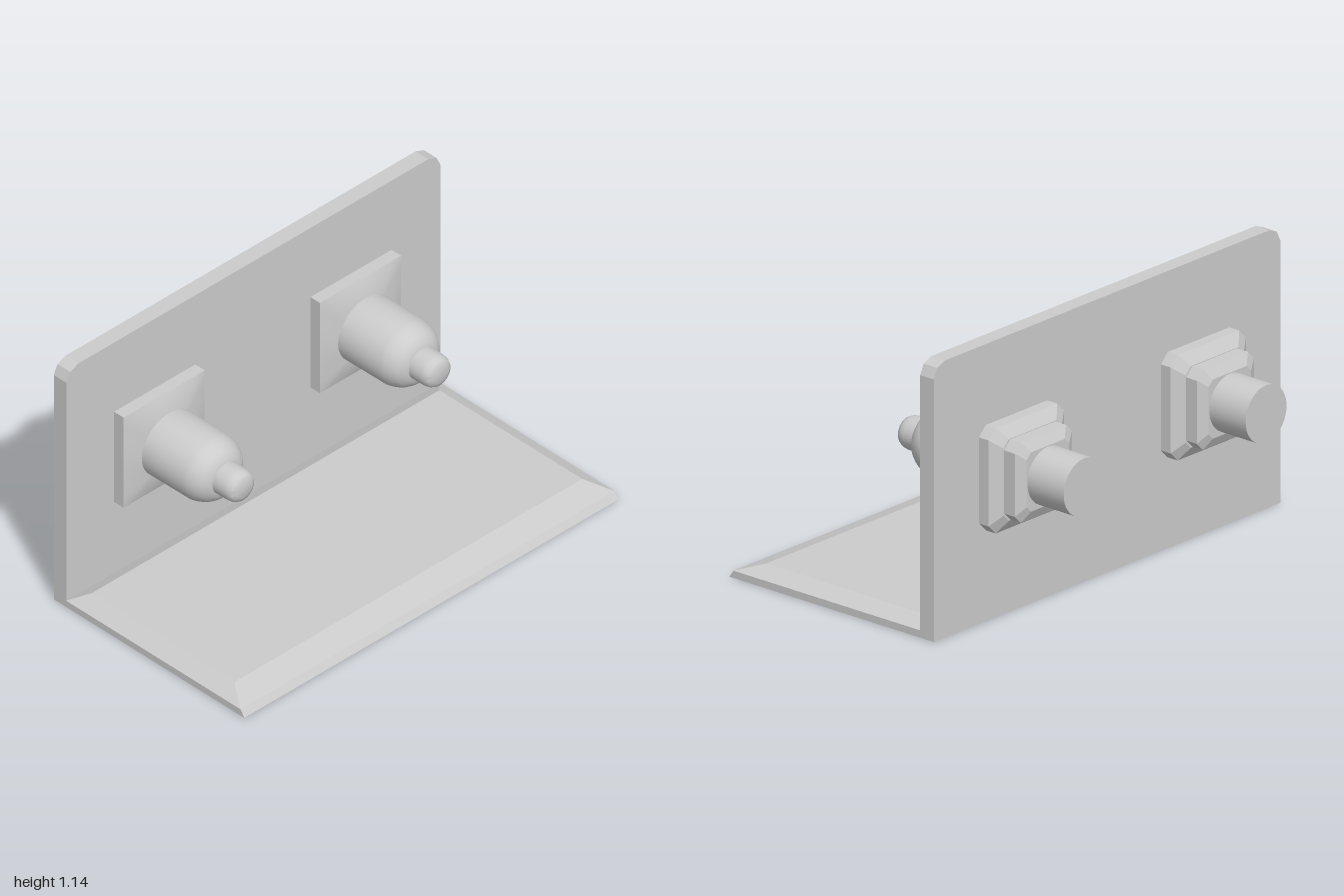
import * as THREE from 'three';
import { toCreasedNormals } from 'three/addons/utils/BufferGeometryUtils.js';

const material = new THREE.MeshStandardMaterial({ color: 0xcccccc });

function addPart(parent, name, geometry) {
  const mesh = new THREE.Mesh(geometry, material);
  mesh.name = name;
  parent.add(mesh);
  return mesh;
}

// Skin over counter-clockwise rings [[x, y], ...] placed at rising z, with end caps.
function loft(sections, crease = 0.2) {
  const n = sections[0].ring.length;
  const positions = [];
  const index = [];
  sections.forEach(({ z, ring }) => ring.forEach(([x, y]) => positions.push(x, y, z)));
  for (let s = 0; s < sections.length - 1; s++) {
    for (let i = 0; i < n; i++) {
      const j = (i + 1) % n;
      const a = s * n + i, b = s * n + j;
      index.push(a, b, b + n, a, b + n, a + n);
    }
  }
  const last = (sections.length - 1) * n;
  for (let i = 1; i < n - 1; i++) {
    index.push(0, i + 1, i, last, last + i, last + i + 1);
  }
  const geometry = new THREE.BufferGeometry();
  geometry.setAttribute('position', new THREE.Float32BufferAttribute(positions, 3));
  geometry.setIndex(index);
  return toCreasedNormals(geometry, crease);
}

const rect = (x0, x1, y0, y1) => [[x0, y0], [x1, y0], [x1, y1], [x0, y1]];

// Square with clipped corners
function octagon(h, cut) {
  const c = h - cut;
  return [[c, -h], [h, -c], [h, c], [c, h], [-c, h], [-h, c], [-h, -c], [-c, -h]];
}

// Round or square ring with matching point counts
function ring(r, square) {
  return Array.from({ length: 48 }, (_, i) => {
    const a = (i / 48) * Math.PI * 2;
    const x = Math.cos(a), y = Math.sin(a);
    const k = square ? r / Math.max(Math.abs(x), Math.abs(y)) : r;
    return [x * k, y * k];
  });
}

function createConnector(name, x) {
  const group = new THREE.Group();
  group.name = name;
  group.position.set(x, 0.59, 0);

  // Front flange: square rim easing into the round body
  addPart(group, 'frontFlange', loft([
    { z: -0.3, ring: ring(0.217, true) },
    { z: -0.23, ring: ring(0.217, true) },
    { z: -0.2, ring: ring(0.143, false) },
  ], 0.7));

  // Rounded body and tip, turned around the z axis
  const profile = [
    [0.143, -0.21], [0.141, 0.02], [0.136, 0.04], [0.127, 0.065], [0.11, 0.09], [0.085, 0.108],
    [0.07, 0.112], [0.069, 0.17], [0.066, 0.19], [0.058, 0.206], [0.04, 0.214], [0, 0.217],
  ].map(([r, z]) => new THREE.Vector2(r, z));
  const body = toCreasedNormals(new THREE.LatheGeometry(profile, 40), 0.85);
  body.rotateX(Math.PI / 2).scale(1.03, 1, 1);
  addPart(group, 'bodyAndTip', body);

  // Two stepped, bevelled plates behind the panel
  addPart(group, 'backFlange', loft([
    { z: -0.435, ring: octagon(0.168, 0.03) },
    { z: -0.402, ring: octagon(0.217, 0.04) },
    { z: -0.33, ring: octagon(0.217, 0.04) },
  ]));
  addPart(group, 'backCollar', loft([
    { z: -0.513, ring: octagon(0.122, 0.025) },
    { z: -0.49, ring: octagon(0.165, 0.035) },
    { z: -0.42, ring: octagon(0.165, 0.035) },
  ]));

  // Rear plug
  const plug = addPart(group, 'rearPlug', new THREE.CylinderGeometry(0.118, 0.118, 0.2, 40));
  plug.rotation.x = Math.PI / 2;
  plug.position.z = -0.6;
  return group;
}

export function createModel() {
  const model = new THREE.Group();
  model.name = 'wallBracketWithConnectors';

  // Upright panel with clipped top corners
  const outline = new THREE.Shape([
    [-1, 0], [1, 0], [1, 1.08], [0.98, 1.122], [0.935, 1.14],
    [-0.935, 1.14], [-0.98, 1.122], [-1, 1.08],
  ].map(([x, y]) => new THREE.Vector2(x, y)));
  const panel = new THREE.ExtrudeGeometry(outline, { depth: 0.07, bevelEnabled: false });
  panel.translate(0, 0, -0.352);
  addPart(model, 'backPanel', panel);

  // Base plate with sloping edges, skinned upwards
  const base = loft([
    { z: 0, ring: rect(-1, 1, -0.7, 0.29) },
    { z: 0.03, ring: rect(-1, 1, -0.68, 0.285) },
    { z: 0.067, ring: rect(-0.93, 0.93, -0.573, 0.215) },
  ]);
  base.rotateX(-Math.PI / 2);
  addPart(model, 'basePlate', base);

  model.add(createConnector('rightConnector', -0.528));
  model.add(createConnector('leftConnector', 0.522));
  return model;
}
